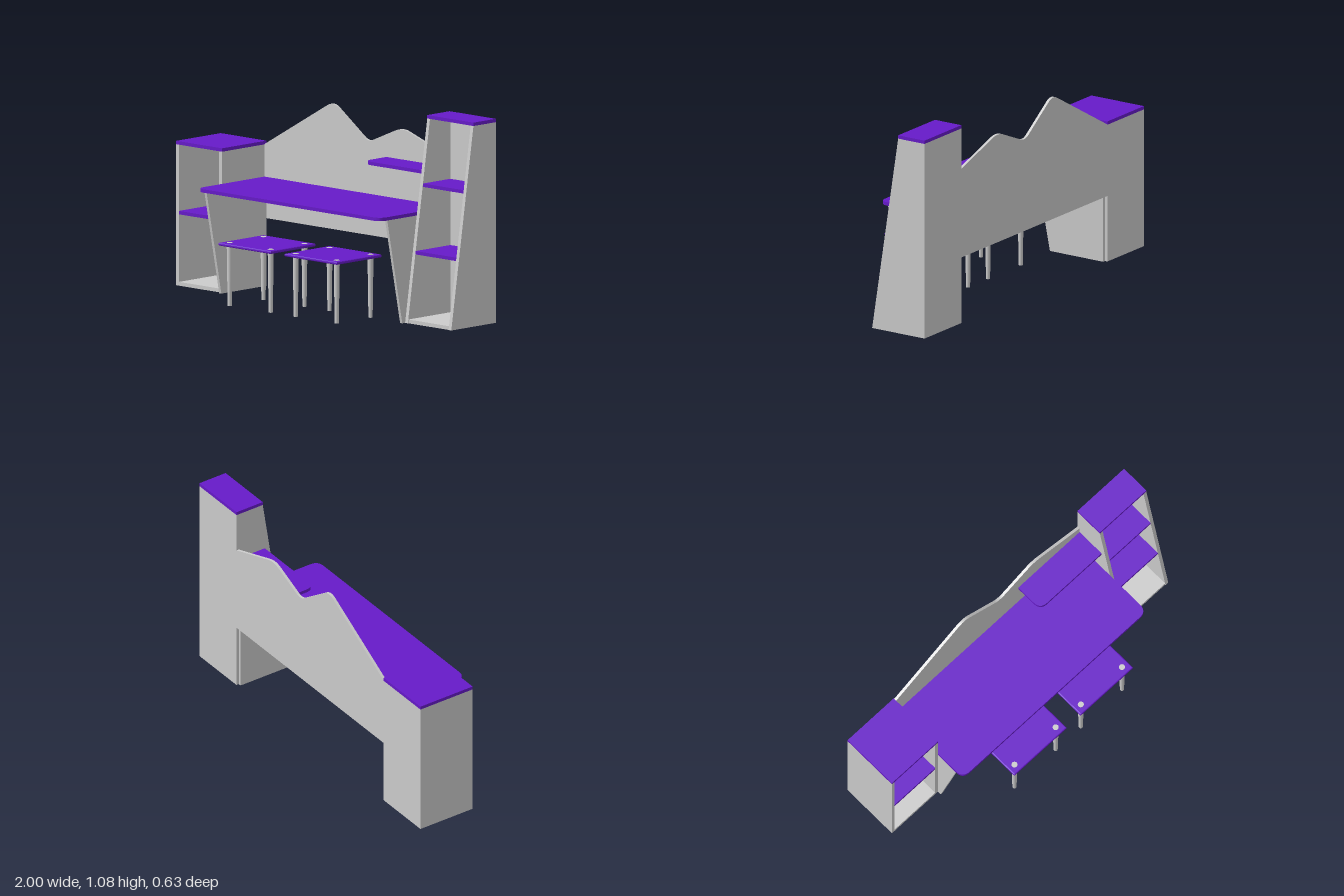
import * as THREE from 'three';

const GREY = new THREE.MeshStandardMaterial({ color: 0xcccccc });
const PURPLE = new THREE.MeshStandardMaterial({ color: 0x661ac8 });
const BACK = -0.315, INNER_BACK = -0.3, T = 0.02;

function add(parent, name, geometry, material) {
  const mesh = new THREE.Mesh(geometry, material);
  mesh.name = name;
  parent.add(mesh);
  return mesh;
}

// Box given by its limits on each axis
function board(parent, name, [x0, x1], [y0, y1], [z0, z1], material) {
  const g = new THREE.BoxGeometry(x1 - x0, y1 - y0, z1 - z0);
  g.translate((x0 + x1) / 2, (y0 + y1) / 2, (z0 + z1) / 2);
  return add(parent, name, g, material);
}

// Closed outline of [u, v, radius] corners, rounded where a radius is given
function outline(corners) {
  const s = new THREE.Shape();
  const n = corners.length;
  corners.forEach(([u, v, r = 0], i) => {
    const p = new THREE.Vector2(u, v);
    const toward = (c) => new THREE.Vector2(c[0], c[1]).sub(p).setLength(r).add(p);
    const a = toward(corners[(i + n - 1) % n]), b = toward(corners[(i + 1) % n]);
    if (i === 0) s.moveTo(a.x, a.y); else s.lineTo(a.x, a.y);
    if (r > 0) s.quadraticCurveTo(p.x, p.y, b.x, b.y);
  });
  s.closePath();
  return s;
}

const extrude = (corners, depth) =>
  new THREE.ExtrudeGeometry(outline(corners), { depth, bevelEnabled: false, curveSegments: 10 });

// Upright panel: corners are [z, y], thickness runs along x
function sidePanel(parent, name, corners, x0, x1) {
  const g = extrude(corners.map(([z, y]) => [-z, y]), x1 - x0);
  g.rotateY(Math.PI / 2).translate(x0, 0, 0);
  add(parent, name, g, GREY);
}

// Horizontal slab: corners are [x, z, radius], thickness runs along y
function slab(parent, name, corners, y0, y1) {
  const g = extrude(corners.map(([x, z, r]) => [x, -z, r]), y1 - y0);
  g.rotateX(-Math.PI / 2).translate(0, y0, 0);
  add(parent, name, g, PURPLE);
}

// Open-fronted cabinet whose front runs from zBottom at the floor to zTop
function cabinet(name, x0, x1, height, zBottom, zTop, shelves) {
  const group = new THREE.Group();
  group.name = name;
  const front = (y) => zBottom + (zTop - zBottom) * y / height;
  const profile = [[BACK, 0], [zBottom, 0], [zTop, height], [BACK, height]];
  sidePanel(group, 'cabinetSide', profile, x0, x0 + T);
  sidePanel(group, 'cabinetSide', profile, x1 - T, x1);
  const inside = [x0 + T, x1 - T];
  board(group, 'cabinetBack', inside, [0, height], [BACK, INNER_BACK], GREY);
  board(group, 'cabinetFloor', inside, [0, T], [INNER_BACK, front(T)], GREY);
  for (const y of shelves)
    board(group, 'cabinetShelf', inside, [y - 0.018, y], [INNER_BACK, front(y)], PURPLE);
  board(group, 'cabinetTop', [x0, x1], [height, height + 0.018], [BACK, zTop], PURPLE);
  return group;
}

// Low stool with slightly rounded seat edges and four tapered legs showing through
function stool(xCentre) {
  const group = new THREE.Group();
  group.name = 'stool';
  const w = 0.19, d = 0.1675, e = 0.006;
  const seat = new THREE.ExtrudeGeometry(
    outline([[-w + e, -d + e], [w - e, -d + e], [w - e, d - e], [-w + e, d - e]]),
    { depth: 0.004, bevelSize: e, bevelThickness: e, bevelSegments: 3 });
  seat.rotateX(-Math.PI / 2).translate(0, 0.317 + e, 0);
  add(group, 'stoolSeat', seat, PURPLE);
  for (const x of [-0.149, 0.149]) for (const z of [-0.126, 0.126]) {
    const leg = add(group, 'stoolLeg', new THREE.CylinderGeometry(0.016, 0.011, 0.334, 24), GREY);
    leg.position.set(x, 0.167, z);
  }
  group.position.set(xCentre, 0, 0.1475);
  return group;
}

export function createModel() {
  const model = new THREE.Group();
  model.name = 'deskUnit';

  // Low straight cabinet and tall sloping cabinet
  model.add(cabinet('lowCabinet', -1, -0.667, 0.745, 0.017, 0.017, [0.395]));
  model.add(cabinet('tallCabinet', 0.664, 1, 1.06, 0.017, -0.148, [0.375, 0.725]));

  // Back panel with a mountain skyline
  const back = extrude([
    [-0.667, 0.357], [0.664, 0.357], [0.664, 0.84], [0.33, 0.952, 0.05],
    [0.085, 0.848, 0.04], [-0.17, 1.03, 0.045], [-0.667, 0.747],
  ], INNER_BACK - BACK);
  back.translate(0, 0, BACK);
  add(model, 'backPanel', back, GREY);

  // Desk on two slanted side legs
  const legProfile = [[INNER_BACK, 0], [0.038, 0], [0.15, 0.557], [INNER_BACK, 0.557]];
  sidePanel(model, 'deskLeg', legProfile, -0.667, -0.651);
  sidePanel(model, 'deskLeg', legProfile, 0.648, 0.664);
  slab(model, 'deskTop', [
    [-0.667, 0.203, 0.05], [0.664, 0.203, 0.05], [0.664, INNER_BACK], [-0.667, INNER_BACK],
  ], 0.557, 0.575);

  // Small shelf on the back panel
  slab(model, 'wallShelf', [
    [0.22, -0.135, 0.05], [0.664, -0.135], [0.664, INNER_BACK], [0.22, INNER_BACK],
  ], 0.767, 0.785);

  // Pair of stools
  for (const x of [-0.212, 0.268]) model.add(stool(x));
  return model;
}
